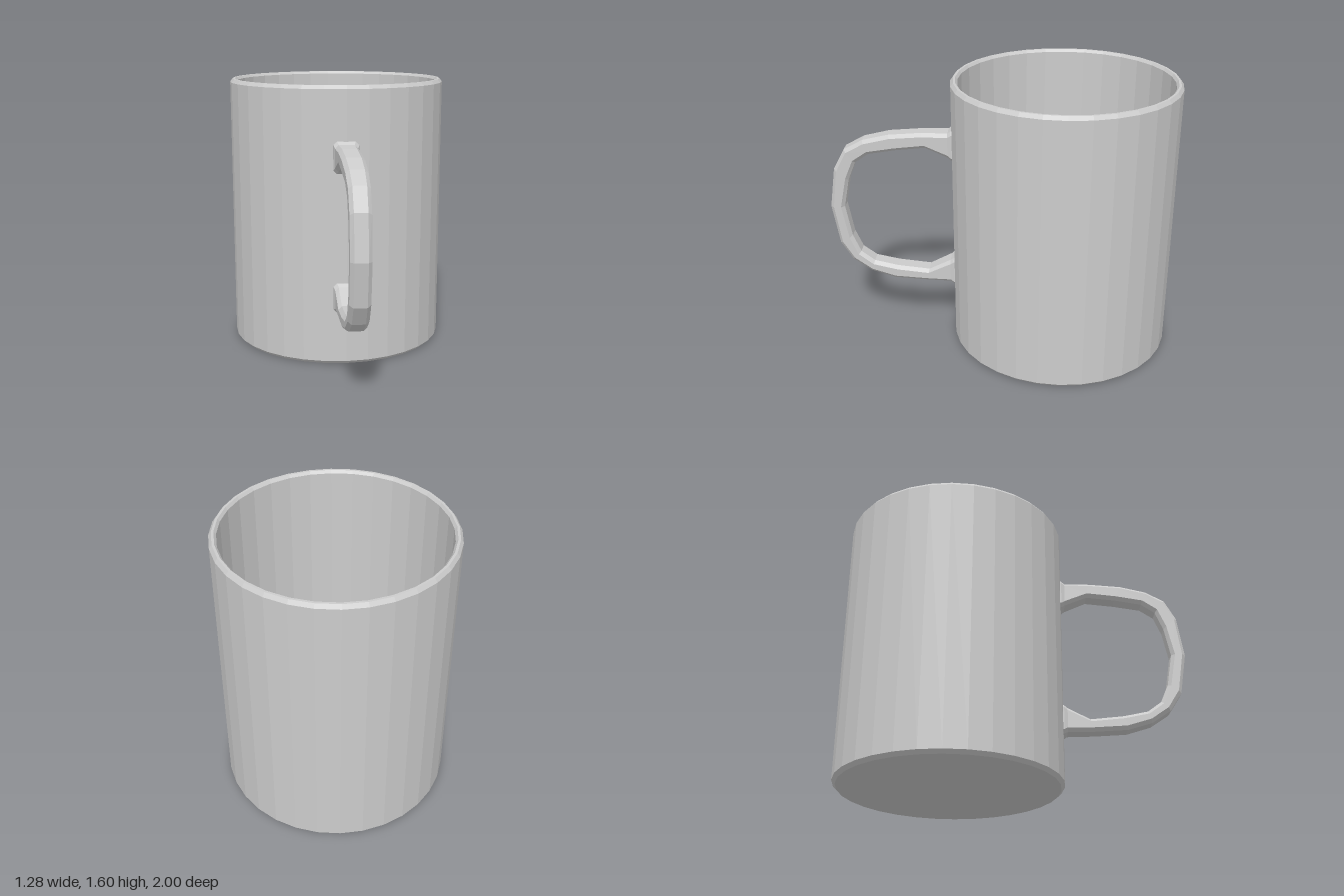
import * as THREE from 'three';

const material = new THREE.MeshStandardMaterial({ color: 0xcccccc, flatShading: true });

// Hollow cup turned from one profile: chamfered foot and rim, bevelled inner floor
function createCup() {
  const profile = [
    [0, 0], [0.62, 0], [0.64, 0.02], [0.64, 1.58], [0.625, 1.6],
    [0.612, 1.6], [0.6, 1.585], [0.6, 0.07], [0.57, 0.04], [0, 0.04],
  ].map(([r, y]) => new THREE.Vector2(r, y));
  const cup = new THREE.Mesh(new THREE.LatheGeometry(profile, 32), material);
  cup.name = 'cup';
  cup.position.z = -0.36;
  return cup;
}

// Handle lofted through chamfered rectangles
function createHandle() {
  // outer z, outer y, inner z, inner y, half width
  const stations = [
    [0.26, 1.3, 0.26, 1.11, 0.073],
    [0.28, 1.295, 0.28, 1.118, 0.071],
    [0.3, 1.28, 0.3, 1.133, 0.064],
    [0.45, 1.28, 0.43, 1.19, 0.06],
    [0.64, 1.265, 0.6, 1.172, 0.06],
    [0.79, 1.23, 0.76, 1.145, 0.058],
    [0.9, 1.17, 0.84, 1.09, 0.056],
    [0.965, 1.05, 0.885, 0.98, 0.055],
    [1.0, 0.81, 0.918, 0.81, 0.055],
    [0.96, 0.57, 0.885, 0.62, 0.055],
    [0.89, 0.46, 0.84, 0.515, 0.056],
    [0.78, 0.385, 0.76, 0.455, 0.058],
    [0.64, 0.342, 0.62, 0.425, 0.06],
    [0.45, 0.33, 0.43, 0.405, 0.06],
    [0.3, 0.327, 0.3, 0.472, 0.064],
    [0.28, 0.315, 0.28, 0.487, 0.071],
    [0.26, 0.31, 0.26, 0.495, 0.073],
  ];
  const positions = [];
  const index = [];
  const sides = 8;
  for (const [oz, oy, iz, iy, w] of stations) {
    const c = 0.02;
    const t = c / Math.hypot(oz - iz, oy - iy);
    // x and the share of the way from inner to outer edge
    const ring = [
      [w, t], [w, 1 - t], [w - c, 1], [c - w, 1],
      [-w, 1 - t], [-w, t], [c - w, 0], [w - c, 0],
    ];
    for (const [x, k] of ring) positions.push(x - 0.003, iy + (oy - iy) * k, iz + (oz - iz) * k);
  }
  for (let i = 0; i < stations.length - 1; i++) {
    for (let j = 0; j < sides; j++) {
      const a = i * sides + j;
      const b = i * sides + ((j + 1) % sides);
      index.push(a, b, b + sides, a, b + sides, a + sides);
    }
  }
  const geometry = new THREE.BufferGeometry();
  geometry.setAttribute('position', new THREE.Float32BufferAttribute(positions, 3));
  geometry.setIndex(index);
  geometry.computeVertexNormals();
  const handle = new THREE.Mesh(geometry, material);
  handle.name = 'handle';
  return handle;
}

export function createModel() {
  const mug = new THREE.Group();
  mug.name = 'mug';
  mug.add(createCup(), createHandle());
  return mug;
}
